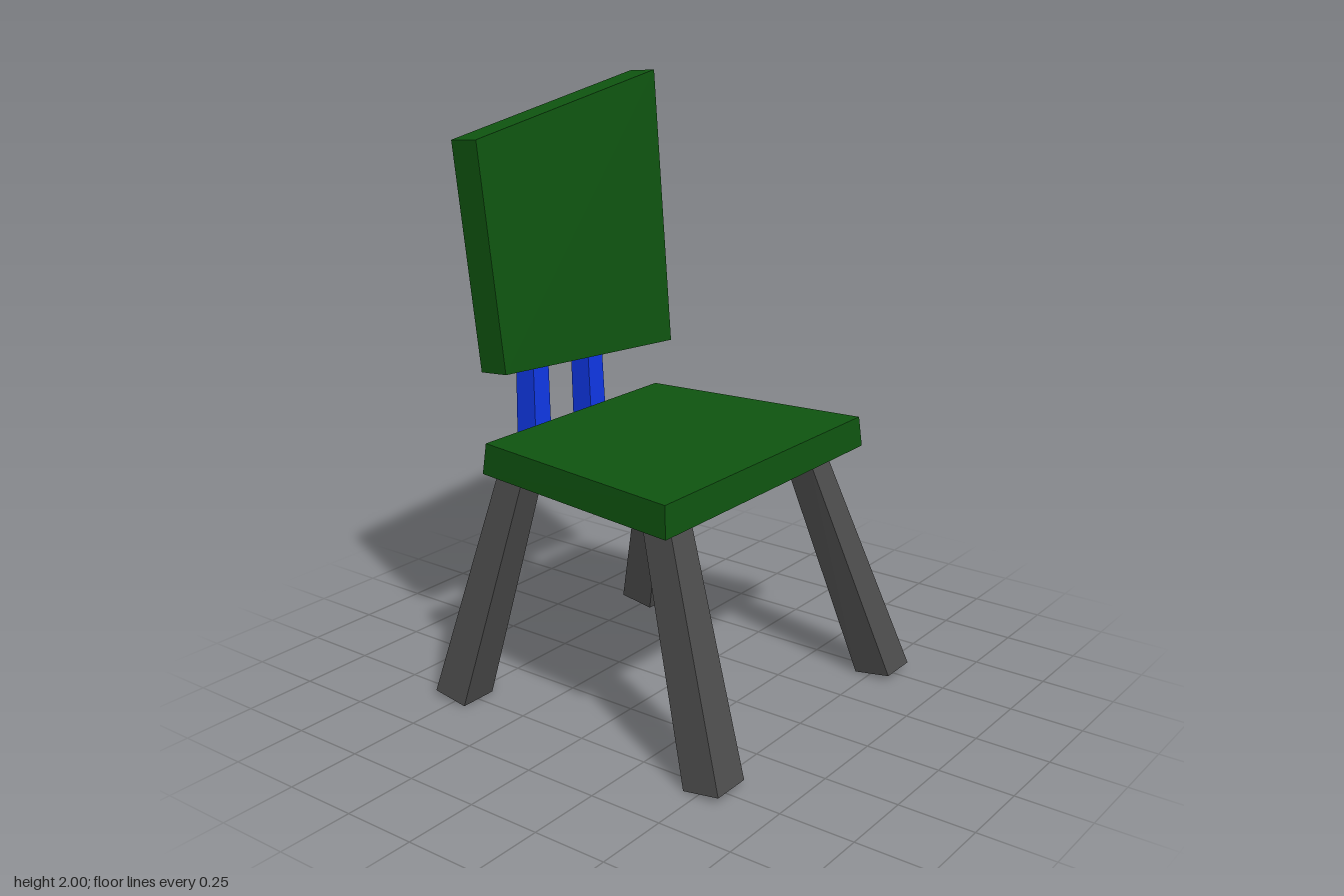
import * as THREE from 'three';

const paint = (color) => new THREE.MeshStandardMaterial({ color, flatShading: true });

// A box whose eight corners are placed by corner(sx, sy, sz), each sign being -1 or +1
function block(name, material, corner) {
  const geo = new THREE.BoxGeometry(2, 2, 2);
  const p = geo.attributes.position;
  for (let i = 0; i < p.count; i++) p.setXYZ(i, ...corner(p.getX(i), p.getY(i), p.getZ(i)));
  geo.computeVertexNormals();
  const mesh = new THREE.Mesh(geo, material);
  mesh.name = name;
  return mesh;
}

// L-shaped bracket, leaning sideways and thinning slightly as it rises
function bracket(name, material, centre, lean) {
  const profile = [[0.16, 0.73], [0.155, 0.77], [-0.44, 0.775], [-0.46, 1.27], [-0.532, 1.27], [-0.522, 0.672]];
  const shape = new THREE.Shape(profile.map(([z, y]) => new THREE.Vector2(-z, y)));
  const geo = new THREE.ExtrudeGeometry(shape, { depth: 1, bevelEnabled: false });
  geo.translate(0, 0, -0.5).rotateY(Math.PI / 2);
  const p = geo.attributes.position;
  for (let i = 0; i < p.count; i++) {
    const rise = p.getY(i) - 0.67;
    p.setX(i, centre + lean * rise + p.getX(i) * (0.08 - 0.012 * rise));
  }
  geo.computeVertexNormals();
  const mesh = new THREE.Mesh(geo, material);
  mesh.name = name;
  return mesh;
}

export function createModel() {
  const chair = new THREE.Group();
  chair.name = 'chair';
  const green = paint(0x0f5510);
  const blue = paint(0x1038e8);
  const grey = paint(0x4c4c4c);

  // Seat: a slab that narrows to the back, its sides tapering in at the top
  chair.add(block('seat', green, (sx, sy, sz) => {
    const inset = sy > 0 ? 0.009 : 0;
    const edge = sz > 0 ? (sx > 0 ? 0.53 : 0.567) : (sx > 0 ? 0.45 : 0.455);
    return [sx * (edge - inset), sy > 0 ? 0.885 : 0.783, sz > 0 ? 0.387 - inset : -0.435 + inset];
  }));

  // Backrest: a reclined, lopsided panel, taller on its left
  chair.add(block('backrest', green, (sx, sy, sz) => {
    const left = sx > 0;
    const x = sy > 0 ? (left ? 0.436 : -0.446) : (left ? 0.425 : -0.431);
    const y = sy > 0 ? (left ? 2.0 : 1.85) : (left ? 1.062 : 1.122);
    const z = sy > 0 ? -0.423 : -0.343;
    return [x, sz > 0 ? y : y - 0.008, sz > 0 ? z : z - 0.104];
  }));

  // Brackets joining the backrest to the underside of the seat
  chair.add(bracket('rightBracket', blue, -0.155, 0.025));
  chair.add(bracket('leftBracket', blue, 0.14, -0.015));

  // Splayed legs, thicker at the foot
  for (const side of [-1, 1]) {
    for (const end of [-1, 1]) {
      const name = (end > 0 ? 'front' : 'back') + (side > 0 ? 'Left' : 'Right') + 'Leg';
      chair.add(block(name, grey, (sx, sy, sz) => {
        const outX = sx * side > 0;
        const outZ = sz * end > 0;
        if (sy < 0) return [side * (outX ? 0.566 : 0.432), outZ ? 0.02 : 0, end * (outZ ? 0.578 : 0.45)];
        const z = end > 0 ? (outZ ? 0.296 : 0.19) : (outZ ? 0.39 : 0.285);
        return [side * (outX ? 0.434 : 0.331), 0.785, end * z];
      }));
    }
  }
  return chair;
}
